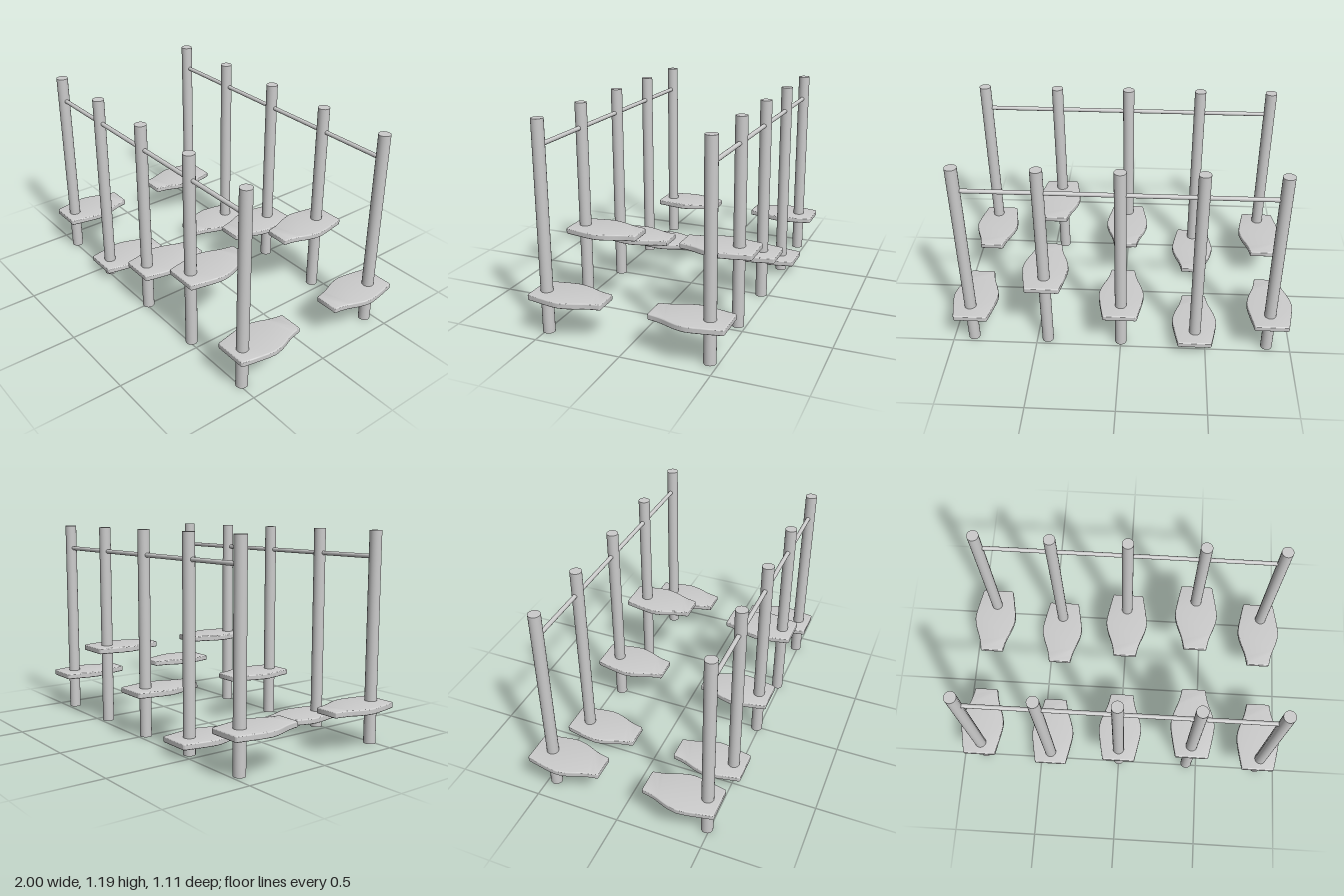
import * as THREE from 'three';
import { toCreasedNormals } from 'three/addons/utils/BufferGeometryUtils.js';

const material = new THREE.MeshStandardMaterial({ color: 0xcccccc });
const POST_H = 1.19, POST_R = 0.034, BAR_Y = 1.047;

// One station per post: post x, step x, step centre height
const stations = [
  [-0.864, -0.868, 0.228],
  [-0.437, -0.435, 0.080],
  [0, 0.002, 0.268],
  [0.437, 0.44, 0.455],
  [0.882, 0.868, 0.225],
];

// Bevelled step plate: broad at the outer end, tapering to the inner end (z = distance from centre line)
function stepGeometry() {
  const s = new THREE.Shape();
  s.moveTo(-0.063, 0.133);
  s.lineTo(0.063, 0.133);
  s.quadraticCurveTo(0.071, 0.133, 0.073, 0.141);
  s.quadraticCurveTo(0.082, 0.205, 0.103, 0.25);
  s.bezierCurveTo(0.12, 0.29, 0.131, 0.33, 0.132, 0.36);
  s.bezierCurveTo(0.131, 0.40, 0.115, 0.47, 0.1, 0.546);
  s.quadraticCurveTo(0.098, 0.557, 0.088, 0.557);
  s.lineTo(-0.088, 0.557);
  s.quadraticCurveTo(-0.098, 0.557, -0.1, 0.546);
  s.bezierCurveTo(-0.115, 0.47, -0.131, 0.40, -0.132, 0.36);
  s.bezierCurveTo(-0.131, 0.33, -0.12, 0.29, -0.103, 0.25);
  s.quadraticCurveTo(-0.082, 0.205, -0.073, 0.141);
  s.quadraticCurveTo(-0.071, 0.133, -0.063, 0.133);
  const bevel = 0.007;
  const geo = new THREE.ExtrudeGeometry(s, {
    depth: 0.034 - 2 * bevel, curveSegments: 6,
    bevelEnabled: true, bevelThickness: bevel, bevelSize: bevel, bevelOffset: -bevel, bevelSegments: 3,
  });
  geo.translate(0, 0, -(0.034 - 2 * bevel) / 2);
  geo.rotateX(Math.PI / 2);
  return toCreasedNormals(geo, Math.PI / 5);
}

export function createModel() {
  const model = new THREE.Group();
  model.name = 'steppingPosts';
  const step = stepGeometry();
  const post = new THREE.CylinderGeometry(POST_R, POST_R, POST_H, 32);
  const barLength = stations[4][0] - stations[0][0];
  const bar = new THREE.CylinderGeometry(0.0125, 0.0125, barLength, 16).rotateZ(Math.PI / 2);

  const add = (group, geo, name, x, y, z) => {
    const mesh = new THREE.Mesh(geo, material);
    mesh.name = name;
    mesh.position.set(x, y, z);
    group.add(mesh);
    return mesh;
  };

  // Two facing rows, with every step pointing toward the middle
  for (const [rowName, postZ, turn] of [['frontRow', 0.485, 0], ['backRow', -0.454, Math.PI]]) {
    const row = new THREE.Group();
    row.name = rowName;
    for (const [postX, stepX, stepY] of stations) {
      add(row, post, 'post', postX, POST_H / 2, postZ);
      add(row, step, 'step', stepX, stepY, 0).rotation.y = turn;
    }
    // Handrail through the posts
    add(row, bar, 'handrail', (stations[0][0] + stations[4][0]) / 2, BAR_Y, postZ);
    model.add(row);
  }
  return model;
}
